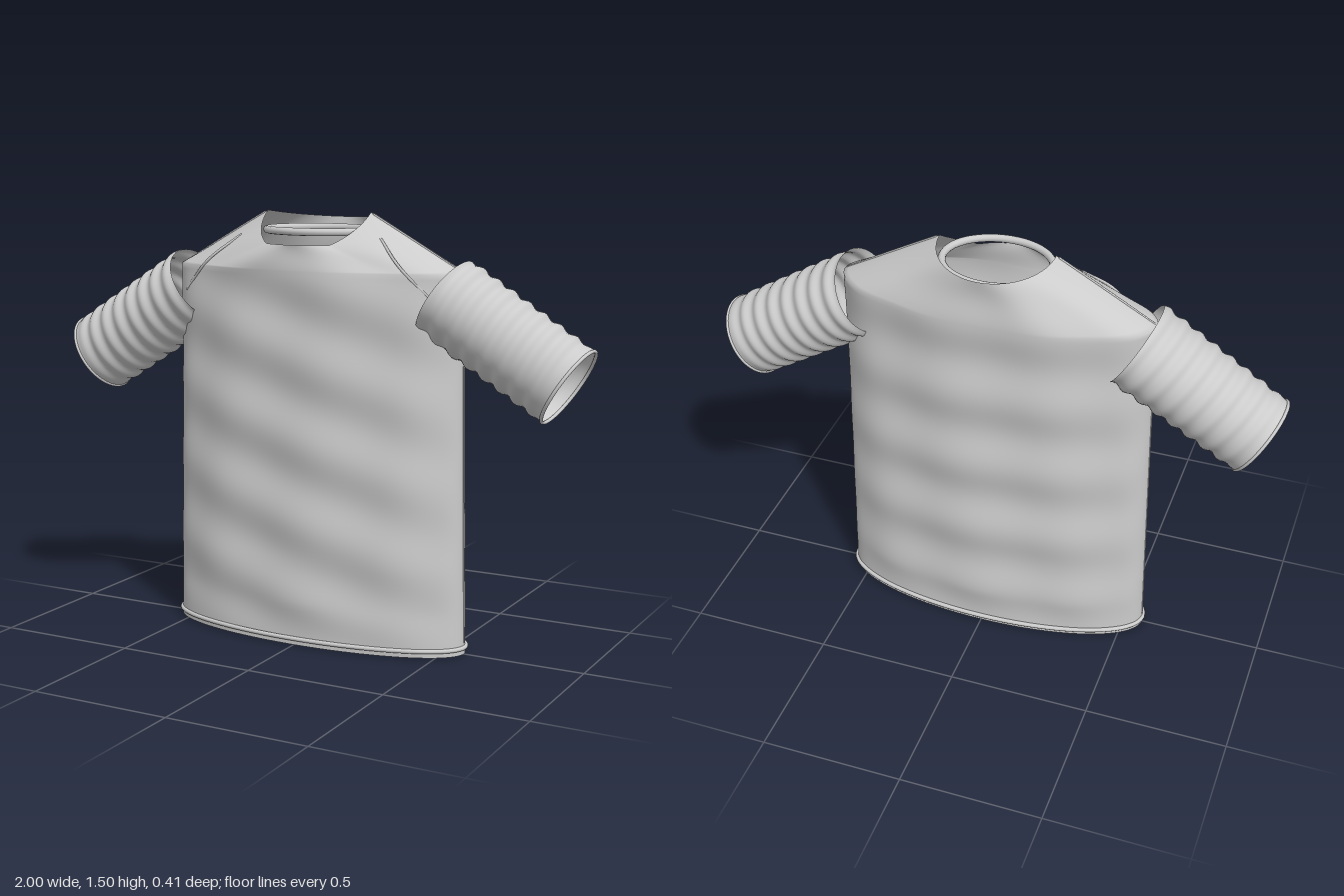
import * as THREE from 'three';
import { mergeVertices } from 'three/addons/utils/BufferGeometryUtils.js';

const material = new THREE.MeshStandardMaterial({ color: 0xcccccc, side: THREE.DoubleSide });
const lerp = THREE.MathUtils.lerp;
const SHOULDER_Y = 1.31;

function addMesh(parent, name, geometry) {
  const mesh = new THREE.Mesh(geometry, material);
  mesh.name = name;
  parent.add(mesh);
  return mesh;
}

// Point on the front (side = 1) or back (side = -1) cloth; v runs 0..1 below the shoulder, 1..2 over the yoke
function clothPoint(side, angle, v) {
  const c = Math.cos(angle), s = Math.sin(angle);
  const t = Math.max(0, v - 1);
  const drop = side > 0 ? 0.105 * Math.min(1, s / 0.8) : 0.027 * s;
  const y = Math.min(v, 1) * SHOULDER_Y + t * (1.503 - SHOULDER_Y - drop);
  const w = v <= 1 ? lerp(0.567, 0.548, Math.min(1, y / 1.0)) : lerp(0.548, 0.2, t);
  const fade = Math.min(1, y / 0.15) * (1 - t * t);
  const slant = side > 0 ? 4 * c : 0;
  const wave = 0.008 * Math.sin(22 * y + slant + 4.3) * s + 0.005 * Math.sin(9 * angle + 2 * y) * s;
  const z = side * (lerp(0.187, 0.194, Math.min(1, y / 0.3)) * s + wave * fade);
  return [w * c, y, z];
}

function clothPanel(side) {
  const cols = 72, rowsLow = 72, rowsTop = 20, rows = rowsLow + rowsTop;
  const pos = [], index = [];
  for (let j = 0; j <= rows; j++) {
    const v = j <= rowsLow ? j / rowsLow : 1 + (j - rowsLow) / rowsTop;
    for (let i = 0; i <= cols; i++) pos.push(...clothPoint(side, Math.PI * i / cols, v));
  }
  for (let j = 0; j < rows; j++) {
    for (let i = 0; i < cols; i++) {
      const a = j * (cols + 1) + i, b = a + 1, c = a + cols + 1, d = c + 1;
      if (side > 0) index.push(a, c, b, b, c, d);
      else index.push(a, b, c, b, d, c);
    }
  }
  const g = new THREE.BufferGeometry();
  g.setAttribute('position', new THREE.Float32BufferAttribute(pos, 3));
  g.setIndex(index);
  g.computeVertexNormals();
  return g;
}

// Round cord bent to a horizontal ellipse
function ovalRing(rx, rz, y, cord) {
  const pts = [];
  for (let i = 0; i < 48; i++) {
    const a = i / 48 * Math.PI * 2;
    pts.push(new THREE.Vector3(rx * Math.cos(a), y, rz * Math.sin(a)));
  }
  return new THREE.TubeGeometry(new THREE.CatmullRomCurve3(pts, true), 120, cord, 10, true);
}

function seam(points, radius) {
  const curve = new THREE.CatmullRomCurve3(points.map((p) => new THREE.Vector3(...p)));
  return new THREE.TubeGeometry(curve, 32, radius, 6, false);
}

// Sleeve tube, wider at the armhole, with spiral ripples
function sleeveGeometry(side, length) {
  let g = new THREE.CylinderGeometry(1, 1, length, 56, 72, true);
  g.deleteAttribute('uv');
  g.deleteAttribute('normal');
  g = mergeVertices(g, 1e-4);
  const p = g.attributes.position;
  for (let i = 0; i < p.count; i++) {
    const t = p.getY(i) / length + 0.5;
    const angle = Math.atan2(p.getZ(i), p.getX(i));
    const ripple = 0.005 * Math.sin(t * 50 + side * angle) * Math.min(1, (1 - t) * 8);
    p.setX(i, p.getX(i) * (0.144 + ripple));
    p.setZ(i, p.getZ(i) * (lerp(0.168, 0.143, t) + ripple));
  }
  g.computeVertexNormals();
  return g;
}

export function createModel() {
  const shirt = new THREE.Group();
  shirt.name = 'shirt';

  // Body cloth
  addMesh(shirt, 'frontPanel', clothPanel(1));
  addMesh(shirt, 'backPanel', clothPanel(-1));

  // Collar and hem cords
  addMesh(shirt, 'collar', ovalRing(0.187, 0.15, 1.44, 0.013));
  addMesh(shirt, 'hem', ovalRing(0.569, 0.192, 0.024, 0.008));

  for (const side of [1, -1]) {
    const label = side > 0 ? 'left' : 'right';

    // Sleeve with cuff, sloping down and outwards
    const sleeve = new THREE.Group();
    sleeve.name = label + 'Sleeve';
    const length = 0.52;
    addMesh(sleeve, label + 'SleeveTube', sleeveGeometry(side, length));
    addMesh(sleeve, label + 'Cuff', ovalRing(0.143, 0.142, length / 2 - 0.005, 0.006));
    sleeve.position.set(side * 0.703, 1.092, 0);
    sleeve.rotation.z = -side * 2.129;
    shirt.add(sleeve);

    // Seams along the shoulder, the front of the armhole and the side
    addMesh(shirt, label + 'ShoulderSeam',
      seam([[side * 0.21, 1.497, 0], [side * 0.37, 1.409, 0], [side * 0.54, 1.313, 0]], 0.004));
    addMesh(shirt, label + 'ArmholeSeam',
      seam([[side * 0.27, 1.42, 0.066], [side * 0.37, 1.332, 0.127], [side * 0.48, 1.22, 0.097]], 0.005));
    addMesh(shirt, label + 'SideSeam',
      seam([[side * 0.566, 0.04, 0], [side * 0.557, 0.5, 0], [side * 0.548, 1.0, 0]], 0.003));
  }
  return shirt;
}
